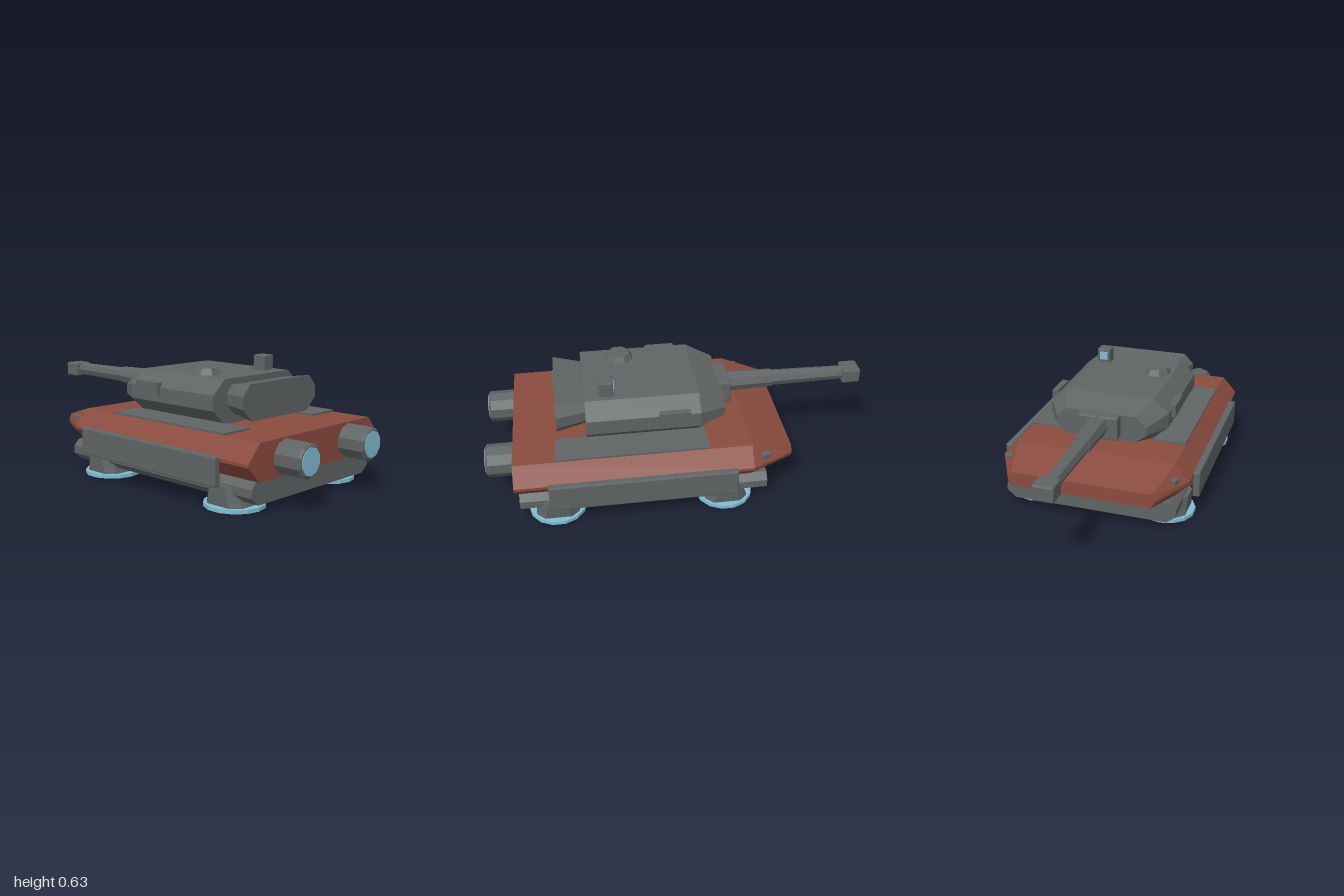
import * as THREE from 'three';
import { RoundedBoxGeometry } from 'three/addons/geometries/RoundedBoxGeometry.js';

const mat = (name, color) => {
  const m = new THREE.MeshStandardMaterial({ color, flatShading: true });
  m.name = name;
  return m;
};

// Joins mirrored cross-sections; each is { z, half: [[x, y], ...] } from bottom to top, z increasing
function loft(sections) {
  const rings = sections.map(({ z, half }) => {
    const left = half.map(([x, y]) => [x, y, z]);
    const right = half.map(([x, y]) => [-x, y, z]).reverse();
    return [...left, ...right];
  });
  const n = rings[0].length, pos = [];
  const tri = (a, b, c) => pos.push(...a, ...b, ...c);
  for (let s = 0; s < rings.length - 1; s++) {
    const a = rings[s], b = rings[s + 1];
    for (let i = 0; i < n; i++) {
      const j = (i + 1) % n;
      tri(a[i], a[j], b[j]);
      tri(a[i], b[j], b[i]);
    }
  }
  const lo = rings[0], hi = rings[rings.length - 1];
  for (let i = 1; i < n - 1; i++) {
    tri(lo[0], lo[i + 1], lo[i]);
    tri(hi[0], hi[i], hi[i + 1]);
  }
  const g = new THREE.BufferGeometry();
  g.setAttribute('position', new THREE.Float32BufferAttribute(pos, 3));
  g.computeVertexNormals();
  return g;
}

// Half of an octagon with half-size w by h and chamfers c, centred at height y
const octagon = (w, h, c, y = 0) => [[w - c, y - h], [w, y - h + c], [w, y + h - c], [w - c, y + h]];

export function createModel() {
  const tank = new THREE.Group();
  tank.name = 'hoverTank';
  const grey = mat('gunmetal', 0x606464);
  const red = mat('rustRed', 0x8a4b3f);
  const blue = mat('glowBlue', 0x80bdd2);

  const add = (name, geo, material, x = 0, y = 0, z = 0) => {
    const m = new THREE.Mesh(geo, material);
    m.name = name;
    m.position.set(x, y, z);
    tank.add(m);
    return m;
  };
  const bevelBox = (w, h, d, b = 0.006) => new RoundedBoxGeometry(w, h, d, 1, b);
  const tube = (rBack, rFront, len, sides) =>
    new THREE.CylinderGeometry(rFront, rBack, len, sides).rotateX(Math.PI / 2);

  // Hull with wedge nose
  const hullHalf = [[0.42, 0.156], [0.497, 0.235], [0.497, 0.25], [0.42, 0.335]];
  add('hull', loft([
    { z: -0.553, half: [[0.36, 0.197], [0.38, 0.23], [0.38, 0.24], [0.365, 0.272]] },
    { z: -0.335, half: hullHalf },
    { z: 0.857, half: hullHalf },
  ]), red);

  // Undercarriage
  const base = [[0.405, 0.047], [0.452, 0.085], [0.452, 0.125], [0.42, 0.158]];
  add('undercarriage', loft([{ z: -0.417, half: base }, { z: 0.84, half: base }]), grey);

  // Turret body with sloped gun end
  const body = [[0.24, 0.338], [0.32, 0.41], [0.32, 0.485], [0.24, 0.555]];
  add('turret', loft([
    { z: -0.225, half: [[0.18, 0.365], [0.24, 0.41], [0.24, 0.455], [0.185, 0.505]] },
    { z: -0.09, half: body },
    { z: 0.483, half: body },
  ]), grey);
  add('turretBustle', loft([
    { z: 0.47, half: [[0.17, 0.383], [0.22, 0.43], [0.22, 0.48], [0.19, 0.522]] },
    { z: 0.63, half: [[0.21, 0.367], [0.275, 0.43], [0.275, 0.49], [0.225, 0.545]] },
  ]), grey);

  // Gun
  add('mantlet', bevelBox(0.21, 0.125, 0.07, 0.008), grey, 0, 0.447, -0.248);
  add('barrelSleeve', tube(0.048, 0.056, 0.26, 8), grey, 0, 0.455, -0.39);
  add('barrel', tube(0.036, 0.043, 0.42, 8), grey, 0, 0.455, -0.71);
  add('muzzle', bevelBox(0.104, 0.078, 0.096, 0.008), grey, 0, 0.453, -0.952);

  // Roof hatch and sight
  add('hatch', new THREE.CylinderGeometry(0.06, 0.078, 0.034, 8)
    .rotateY(Math.PI / 8), grey, -0.155, 0.57, 0.28);
  add('sight', bevelBox(0.073, 0.08, 0.073), grey, 0.175, 0.591, 0.372);
  add('sightLens', new THREE.BoxGeometry(0.045, 0.045, 0.006), blue, 0.175, 0.593, 0.334);

  // Paired side parts
  for (const s of [1, -1]) {
    const side = s > 0 ? 'left' : 'right';
    add(side + 'Skirt', bevelBox(0.037, 0.14, 0.94, 0.007), grey, s * 0.511, 0.19, 0.22);
    add(side + 'DeckPanel', new THREE.BoxGeometry(0.177, 0.014, 0.765), grey, s * 0.331, 0.338, 0.262);
    add(side + 'TurretPod', new THREE.BoxGeometry(0.034, 0.064, 0.155), grey, s * 0.324, 0.477, 0.042);
    const lamp = add(side + 'Lamp', bevelBox(0.042, 0.028, 0.04, 0.005), grey, s * 0.432, 0.279, -0.4);
    lamp.rotation.y = s * 0.4;

    // Thrusters
    add(side + 'Thruster', tube(0.084, 0.084, 0.14, 10), grey, s * 0.243, 0.245, 0.915);
    add(side + 'ThrusterRim', tube(0.084, 0.072, 0.012, 10), grey, s * 0.243, 0.245, 0.991);
    add(side + 'ThrusterGlow', tube(0.066, 0.066, 0.006, 10), blue, s * 0.243, 0.245, 0.997);

    // Hover legs and pads
    for (const [end, z] of [['Rear', -0.208], ['Front', 0.655]]) {
      const leg = loft([
        { z: 0.015, half: octagon(0.112, 0.11, 0.04) },
        { z: 0.045, half: octagon(0.115, 0.1, 0.04) },
        { z: 0.118, half: octagon(0.119, 0.075, 0.03) },
      ]).rotateX(-Math.PI / 2);
      add(side + end + 'Leg', leg, grey, s * 0.355, 0, z);
      add(side + end + 'Pad', new THREE.CylinderGeometry(0.147, 0.147, 0.019, 14), blue, s * 0.355, 0.0095, z);
    }
  }

  // Bar joining the two pads
  add('padBar', new THREE.BoxGeometry(0.52, 0.018, 0.08), blue, 0, 0.028, 0.57);
  return tank;
}
